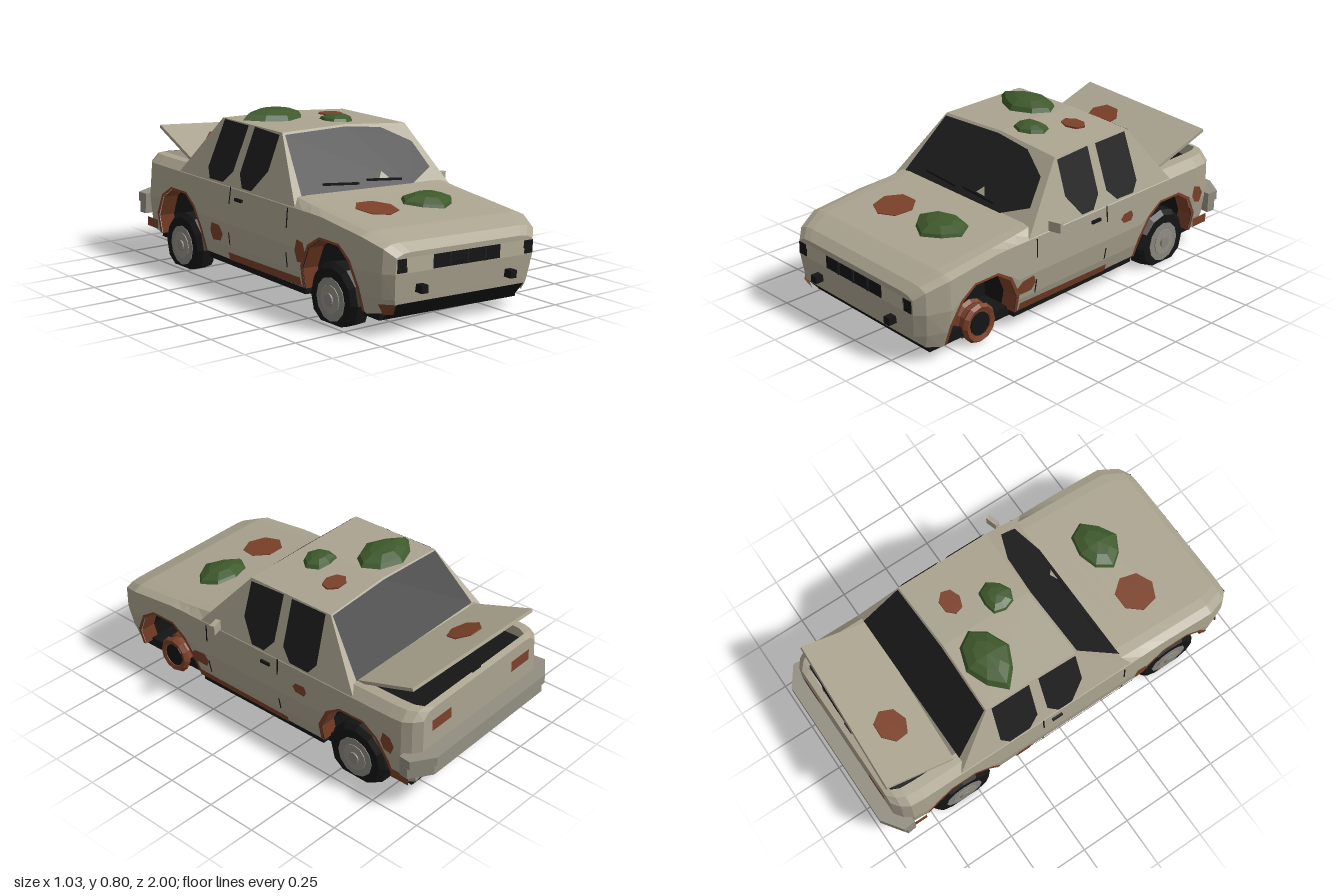
import * as THREE from 'three';
import { ConvexGeometry } from 'three/addons/geometries/ConvexGeometry.js';

const mat = (name, color) => {
  const m = new THREE.MeshStandardMaterial({ color, flatShading: true, side: THREE.DoubleSide });
  m.name = name;
  return m;
};
const paint = mat('faded paint', 0xaba490), glass = mat('dark glass', 0x1e1e1e), black = mat('black underside', 0x151515);
const rust = mat('rust', 0x7c4129), moss = mat('moss', 0x3e592b), steel = mat('dull steel', 0x878680);
const trim = mat('bumper grey', 0x938f82), lamp = mat('lamp lens', 0xb4ae98);

export function createModel() {
  const model = new THREE.Group(), car = new THREE.Group();
  car.name = 'leaningBody';
  car.rotation.set(0.015, 0, -0.035);
  car.position.x = -0.027;
  model.add(car);

  const add = (name, geo, m, x = 0, y = 0, z = 0, parent = car) => {
    const mesh = new THREE.Mesh(geo, m);
    mesh.name = name;
    mesh.position.set(x, y, z);
    parent.add(mesh);
    return mesh;
  };
  const box = (name, m, w, h, d, x, y, z, parent) => add(name, new THREE.BoxGeometry(w, h, d), m, x, y, z, parent);
  const meshGeo = (verts, idx) => {
    const geo = new THREE.BufferGeometry();
    geo.setAttribute('position', new THREE.Float32BufferAttribute(verts, 3));
    geo.setIndex(idx);
    geo.computeVertexNormals();
    return geo;
  };
  // Flat outline bent onto a body surface by a rule
  const plate = (name, pts, m, rule) => {
    const geo = new THREE.ShapeGeometry(new THREE.Shape(pts.map(p => new THREE.Vector2(...p))));
    const pos = geo.attributes.position;
    for (let i = 0; i < pos.count; i++) pos.setXYZ(i, ...rule(pos.getX(i), pos.getY(i)));
    geo.computeVertexNormals();
    return add(name, geo, m);
  };
  const rect = (x, y, w, h) => [[x - w / 2, y - h / 2], [x + w / 2, y - h / 2], [x + w / 2, y + h / 2], [x - w / 2, y + h / 2]];
  const blob = (x, y, rx, ry, n = 7) => Array.from({ length: n }, (_, i) => {
    const a = i / n * Math.PI * 2, k = 0.88 + 0.14 * Math.sin(i * 2.4 + x * 9);
    return [x + rx * k * Math.cos(a), y + ry * k * Math.sin(a)];
  });

  // Side contour: tucked-in sill, widest at mid height, slight tumblehome
  const contour = y => y < 0.17 ? 0.965 - (0.17 - y) * 0.65 : y < 0.28 ? 1 - (0.28 - y) * 0.318 : y < 0.45 ? 1 - (y - 0.28) * 0.088 : 0.985 - (y - 0.45) * 2.1;
  const sideX = y => 0.47 * contour(y);

  // Lower body: rings from front to rear, [z, half width, bottom, top]
  const arch = [[0.205, 0.1], [0.195, 0.2], [0.14, 0.305], [0.065, 0.355], [-0.065, 0.355], [-0.14, 0.305], [-0.195, 0.2], [-0.205, 0.1]];
  const wheelZ = [0.62, -0.585];
  const topAt = z => z > 0.32 ? 0.487 - (z - 0.32) * 0.1 : 0.49;
  const stations = [[0.97, 0.39, 0.145, 0.365], [0.93, 0.43, 0.105, 0.4], [0.84, 0.465, 0.09, 0.432]];
  arch.forEach(([d, b]) => stations.push([wheelZ[0] + d, 0.47, b, topAt(wheelZ[0] + d)]));
  stations.push([0.32, 0.47, 0.1, 0.49], [-0.3, 0.47, 0.1, 0.49]);
  arch.forEach(([d, b]) => stations.push([wheelZ[1] + d, 0.47, b, 0.49]));
  stations.push([-0.86, 0.465, 0.11, 0.49], [-0.9, 0.44, 0.12, 0.488], [-0.93, 0.4, 0.145, 0.48]);
  const verts = [], idx = [], N = 12;
  stations.forEach(([z, w, b, t]) => {
    const side = [b, Math.max(0.17, b + 0.008), Math.max(0.28, b + 0.016), Math.min(0.45, t - 0.015)].map(y => [w * contour(y), y]);
    side.push([w * 0.9, t], [w * 0.8, t + 0.004]);
    // Nose and tail lean under slightly below the middle
    const put = ([x, y], s) => verts.push(s * x, y, Math.abs(z) > 0.92 ? z - Math.sign(z) * Math.max(0, 0.27 - y) * 0.13 : z);
    side.forEach(p => put(p, 1));
    side.reverse().forEach(p => put(p, -1));
  });
  for (let i = 0; i < stations.length - 1; i++) for (let j = 0; j < N - 1; j++) {
    // The boot is left open on top
    if (j === 5 && stations[i][0] < -0.5 && stations[i][0] > -0.88) continue;
    const a = i * N + j, b = a + N;
    idx.push(a, b, a + 1, b, b + 1, a + 1);
  }
  const last = (stations.length - 1) * N;
  for (let j = 0; j < 5; j++) {
    const a = j, b = j + 1, c = N - 2 - j, d = N - 1 - j;
    idx.push(a, b, c, a, c, d, last + a, last + c, last + b, last + a, last + d, last + c);
  }
  add('lowerBody', meshGeo(verts, idx), paint);

  // Dark interior, wheel wells and floor
  box('innerBody', black, 0.5, 0.26, 1.74, 0, 0.22, 0);
  box('wheelWellRoof', black, 0.86, 0.03, 1.6, 0, 0.38, 0.01);
  box('bootFloor', black, 0.76, 0.04, 0.32, 0, 0.42, -0.725);
  box('floor', black, 0.78, 0.05, 1.74, 0, 0.09, 0.01);
  box('midFloor', black, 0.85, 0.05, 0.78, 0, 0.095, 0.02);
  plate('frontValance', [[-0.36, 0.148], [0.36, 0.148], [0.38, 0.065], [-0.38, 0.065]], black, (x, y) => [x, y, 0.957 - (0.148 - y) * 0.95]);
  plate('rearValance', [[-0.37, 0.15], [0.37, 0.15], [0.38, 0.08], [-0.38, 0.08]], black, (x, y) => [x, y, -0.918 + (0.15 - y) * 0.8]);
  plate('valanceRust', [[-0.43, 0.15], [-0.375, 0.15], [-0.36, 0.1], [-0.4, 0.1]], rust,
    (x, y) => [x, y, 0.965 - Math.max(0, -x - 0.38) - (0.15 - y) * 0.6]);

  // Cabin
  const cabin = [[0, 0.75, 0.09], [0, 0.75, -0.37]];
  for (const s of [1, -1]) cabin.push([s * 0.461, 0.45, 0.359], [s * 0.461, 0.45, -0.592], [s * 0.357, 0.737, 0.102], [s * 0.357, 0.737, -0.38]);
  add('cabin', new ConvexGeometry(cabin.map(p => new THREE.Vector3(...p))), paint);
  const onScreen = (x, y) => [x, y, 0.364 - (y - 0.45) * 0.269 / 0.3];
  plate('windscreen', [[-0.405, 0.485], [-0.35, 0.728], [0, 0.742], [0.2, 0.728], [0.345, 0.66], [0.38, 0.55], [0.22, 0.485]], glass, onScreen);
  plate('glassShard', [[0.05, 0.52], [0.12, 0.52], [0.085, 0.555]], paint, (x, y) => onScreen(x, y).map((v, i) => i === 2 ? v + 0.004 : v));
  plate('rearWindow', [[-0.405, 0.495], [0.405, 0.495], [0.352, 0.734], [0, 0.745], [-0.352, 0.734]], glass,
    (x, y) => [x, y, -0.597 + (y - 0.45) * 0.222 / 0.3]);
  for (const x of [-0.17, 0.08]) {
    const wiper = box('wiper', black, 0.2, 0.01, 0.012, x, 0.522, 0.306);
    wiper.rotation.z = -0.06;
  }

  // Both sides: windows, door seams, handles, arches and sills
  const frontPane = [[0.095, 0.726], [-0.105, 0.734], [-0.105, 0.52], [-0.055, 0.463], [0.02, 0.463], [0.097, 0.565]];
  const rearPane = [[-0.155, 0.732], [-0.355, 0.734], [-0.365, 0.51], [-0.325, 0.463], [-0.215, 0.465], [-0.16, 0.52]];
  for (const s of [1, -1]) {
    const onCabin = (z, y) => [s * (0.466 - (y - 0.45) * 0.104 / 0.287), y, z];
    const onSide = (z, y) => [s * (sideX(y) + 0.006), y, z];
    plate('frontSideWindow', frontPane, glass, onCabin);
    plate('rearSideWindow', rearPane, glass, onCabin);
    box('doorHandle', black, 0.015, 0.014, 0.055, s * 0.468, 0.405, -0.067);
    for (const [z, y, h] of [[0.315, 0.4, 0.09], [0.315, 0.21, 0.07], [-0.142, 0.415, 0.08], [-0.142, 0.21, 0.06]])
      plate('doorSeam', rect(z, y, 0.008, h), black, onSide);
    for (const zc of wheelZ) {
      // Arch lip, then rusty and dark liners running inward
      const outer = arch.map(([d, b]) => [zc + d * 1.06, b + (b > 0.15 ? 0.007 : 0)]);
      const inner = arch.map(([d, b]) => [zc + d * 0.98, b - (b > 0.15 ? 0.004 : 0)]);
      plate('archLip', [...outer, ...inner.slice().reverse()], rust, (z, y) => [s * (sideX(y) + 0.004), y, z]);
      for (const [m, x0, x1] of [[rust, 0, 0.08], [black, 0.08, 0.22]]) {
        const lv = [], li = [];
        inner.forEach(([z, y], i) => {
          lv.push(s * (sideX(y) - x0), y, z, s * (sideX(y) - x1), y, z);
          const k = i * 2;
          if (i) li.push(k - 2, k, k - 1, k - 1, k, k + 1);
        });
        add('archLiner', meshGeo(lv, li), m);
      }
    }
    plate('sillRust', [[0.4, 0.105], [0.4, 0.147], [-0.17, 0.137], [-0.17, 0.1]], rust, onSide);
    plate('rearCornerRust', rect(-0.845, 0.145, 0.1, 0.045), rust, (z, y) => [s * 0.457, y, z]);
    const patches = s > 0 ? [[0.375, 0.235, 0.075, 0.045], [-0.28, 0.355, 0.055, 0.03], [-0.79, 0.31, 0.045, 0.055]]
      : [[0.42, 0.27, 0.05, 0.06], [-0.25, 0.22, 0.07, 0.05]];
    for (const [z, y, rz, ry] of patches) plate('sideRust', blob(z, y, rz, ry, 6), rust, onSide);
    // Rear lamps, headlamps, empty indicator holes and towing hooks
    plate('rearLamp', rect(s * 0.28, 0.4, 0.13, 0.055), rust, (x, y) => [x, y, -0.936]);
    plate('headlamp', rect(s * 0.263, 0.316, 0.145, 0.066), lamp, (x, y) => [x, y, 0.975]);
    plate('indicatorHole', rect(s * 0.358, 0.316, 0.055, 0.06), black, (x, y) => [x, y, 0.975]);
    box('towHook', black, 0.035, 0.035, 0.05, s * 0.253, 0.21, 0.978);
  }
  plate('grille', rect(0, 0.316, 0.38, 0.062), black, (x, y) => [x, y, 0.975]);
  for (const x of [-0.1, 0, 0.1]) box('grilleBar', glass, 0.01, 0.06, 0.006, x, 0.316, 0.977);

  // Rear bumper with swept corners, in two steps
  const bumper = (name, y, h, inset) => {
    const outline = [[-0.49, 0.93], [-0.39, 1], [0.39, 1], [0.49, 0.93], [0.485, 0.87], [0.45, 0.87], [0.4, 0.915], [-0.4, 0.915], [-0.45, 0.87], [-0.485, 0.87]];
    const shape = new THREE.Shape(outline.map(([x, z]) => new THREE.Vector2(x, z > 0.92 ? z - inset : z)));
    const geo = new THREE.ExtrudeGeometry(shape, { depth: h, bevelEnabled: false });
    geo.rotateX(-Math.PI / 2);
    add(name, geo, trim, 0, y, 0);
  };
  bumper('bumperLower', 0.19, 0.055, 0.015);
  bumper('bumperUpper', 0.245, 0.045, 0);

  // Open boot lid with its rust patch
  const lid = new THREE.Group();
  lid.name = 'bootLid';
  lid.position.set(0, 0.49, -0.57);
  lid.rotation.set(0.345, -0.05, 0);
  car.add(lid);
  box('lidPanel', paint, 0.79, 0.016, 0.355, 0, 0, -0.178, lid);
  box('bootLatch', black, 0.06, 0.01, 0.012, 0, 0.49, -0.9);
  const mirror = box('wingMirror', paint, 0.06, 0.048, 0.025, 0.493, 0.485, 0.225);
  mirror.rotation.y = 0.3;

  // Rust patches and moss clumps lying on upper panels
  const rustDisc = (x, y, z, rx, rz, tilt, parent) => {
    const mesh = add('rustPatch', new THREE.CylinderGeometry(1, 1, 1, 7), rust, x, y, z, parent);
    mesh.scale.set(rx, 0.009, rz);
    mesh.rotation.x = tilt;
  };
  rustDisc(-0.185, 0.464, 0.58, 0.1, 0.1, 0.1);
  rustDisc(0.16, 0.747, -0.225, 0.065, 0.05, 0);
  rustDisc(-0.13, 0.009, -0.18, 0.085, 0.08, 0, lid);
  const clump = (x, y, z, rx, h, rz, tilt) => {
    const geo = new THREE.SphereGeometry(1, 8, 3, 0, Math.PI * 2, 0, Math.PI / 2);
    const p = geo.attributes.position;
    for (let i = 0; i < p.count; i++) {
      const a = Math.round(Math.atan2(p.getZ(i), p.getX(i)) * 4 / Math.PI + 8) % 8;
      const k = 0.95 + 0.1 * Math.sin(a * 2.7 + x * 20);
      p.setXYZ(i, p.getX(i) * k * rx, p.getY(i) * h, p.getZ(i) * k * rz);
    }
    geo.computeVertexNormals();
    add('mossClump', geo, moss, x, y, z).rotation.x = tilt;
  };
  clump(0.115, 0.452, 0.57, 0.15, 0.056, 0.12, 0.1);
  clump(-0.16, 0.742, -0.24, 0.17, 0.053, 0.115, 0);
  clump(0.06, 0.744, -0.04, 0.088, 0.035, 0.08, 0);

  // Wheels: three flat tyres and one bare rusty rim
  const disc = (name, m, r, w, x, z, y = 0.107) => add(name, new THREE.CylinderGeometry(r, r, w, 12).rotateZ(Math.PI / 2), m, x, y, z, model);
  const tyreProfile = [[0.09, -0.05], [0.14, -0.05], [0.162, -0.028], [0.162, 0.028], [0.14, 0.05], [0.09, 0.05]];
  for (const [s, z] of [[-1, 0.62], [-1, -0.58], [1, -0.58]]) {
    const x = s > 0 ? 0.375 : -0.42;
    const tyre = new THREE.LatheGeometry(tyreProfile.map(p => new THREE.Vector2(...p)), 12).rotateZ(Math.PI / 2);
    const p = tyre.attributes.position;
    // The rubber is squashed against the ground
    for (let i = 0; i < p.count; i++) p.setY(i, Math.max(p.getY(i), -0.107));
    tyre.computeVertexNormals();
    add('flatTyre', tyre, black, x, 0.107, z, model);
    disc('wheelRim', steel, 0.098, 0.106, x, z);
    disc('hubDish', trim, 0.065, 0.114, x, z);
    disc('hubCap', steel, 0.028, 0.13, x, z);
  }
  const ring = new THREE.TorusGeometry(0.077, 0.018, 5, 12).rotateY(Math.PI / 2);
  disc('bareRim', rust, 0.078, 0.07, 0.365, 0.62, 0.095);
  for (const x of [0.335, 0.395]) add('rimLip', ring, rust, x, 0.095, 0.62, model);
  disc('rimCentre', black, 0.056, 0.082, 0.365, 0.62, 0.095);
  return model;
}
